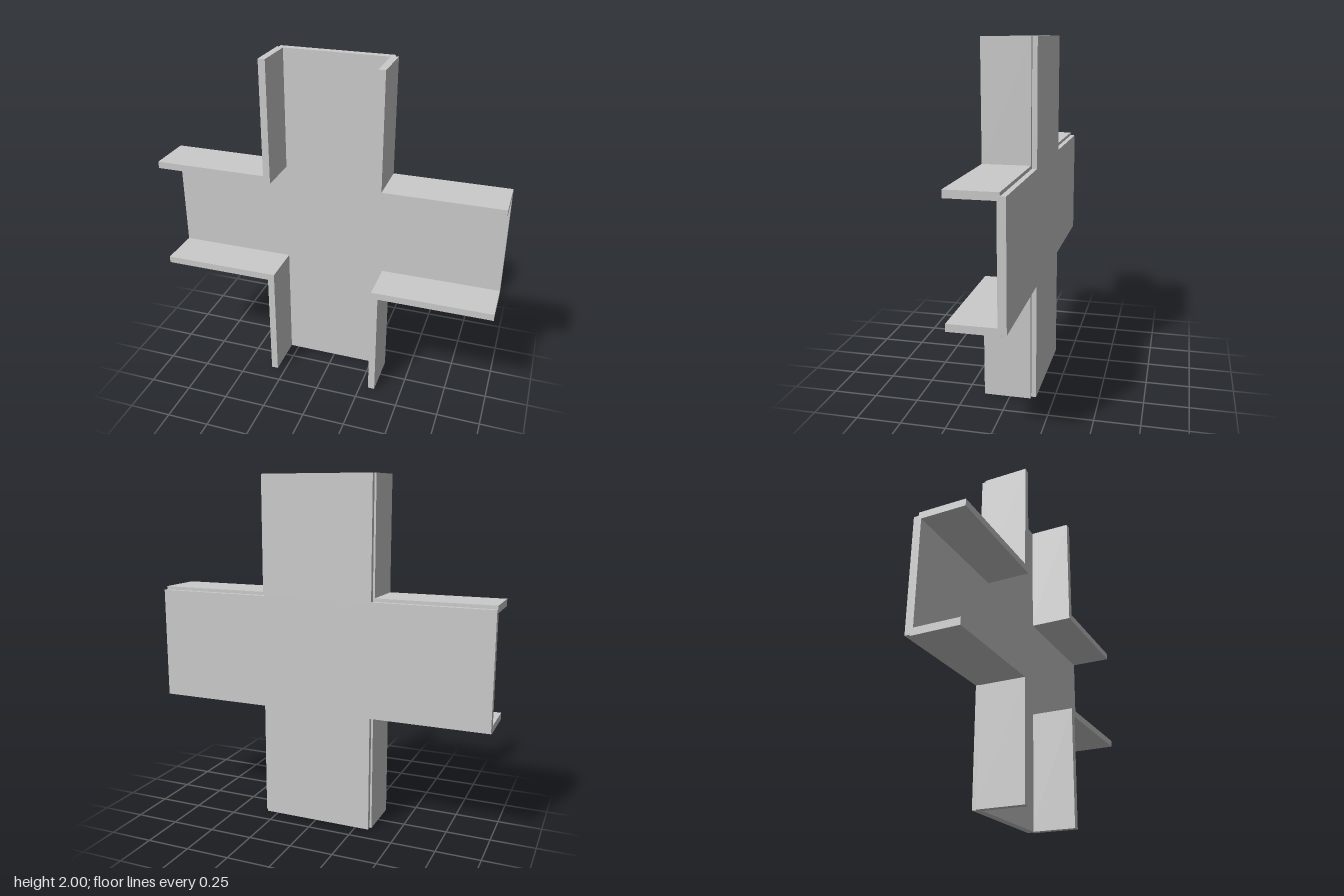
import * as THREE from 'three';

const HALF = 1;        // arm reach from the centre
const MID = 1;         // height of the centre
const INNER = 0.3;     // inside face of the flanges
const OUTER = 0.34;    // outside face of the flanges
const BACK = -0.148, STEP = -0.12, WEB = -0.104, FRONT = 0.148;

const material = new THREE.MeshStandardMaterial({ color: 0xcccccc, flatShading: true });

// Extrudes a closed outline (centred on the cross) between two depths
function slab(name, points, z0, z1) {
  const shape = new THREE.Shape(points.map(([x, y]) => new THREE.Vector2(x, y)));
  const geometry = new THREE.ExtrudeGeometry(shape, { depth: z1 - z0, bevelEnabled: false });
  geometry.translate(0, MID, z0);
  const mesh = new THREE.Mesh(geometry, material);
  mesh.name = name;
  return mesh;
}

// Cross outline whose arms are bounded by the given left/right and bottom/top edges
function cross(x0, x1, y0, y1) {
  return [
    [x0, -HALF], [x1, -HALF], [x1, y0], [HALF, y0], [HALF, y1], [x1, y1],
    [x1, HALF], [x0, HALF], [x0, y1], [-HALF, y1], [-HALF, y0], [x0, y0],
  ];
}

export function createModel() {
  const group = new THREE.Group();
  group.name = 'crossChannel';

  // Back plate, slightly inset from the flanges to leave a small step
  group.add(slab('backPlate', cross(-0.329, 0.318, -0.333, 0.321), BACK, STEP));

  // Inner web between the flanges
  group.add(slab('innerWeb', cross(-INNER, INNER, -INNER, INNER), STEP, WEB));

  // One L-shaped flange in each corner of the cross
  const corner = [
    [INNER, INNER], [HALF, INNER], [HALF, OUTER],
    [OUTER, OUTER], [OUTER, HALF], [INNER, HALF],
  ];
  for (const sx of [-1, 1]) {
    for (const sy of [-1, 1]) {
      const name = (sy > 0 ? 'upper' : 'lower') + (sx > 0 ? 'Left' : 'Right') + 'Flange';
      group.add(slab(name, corner.map(([x, y]) => [sx * x, sy * y]), STEP, FRONT));
    }
  }
  return group;
}
